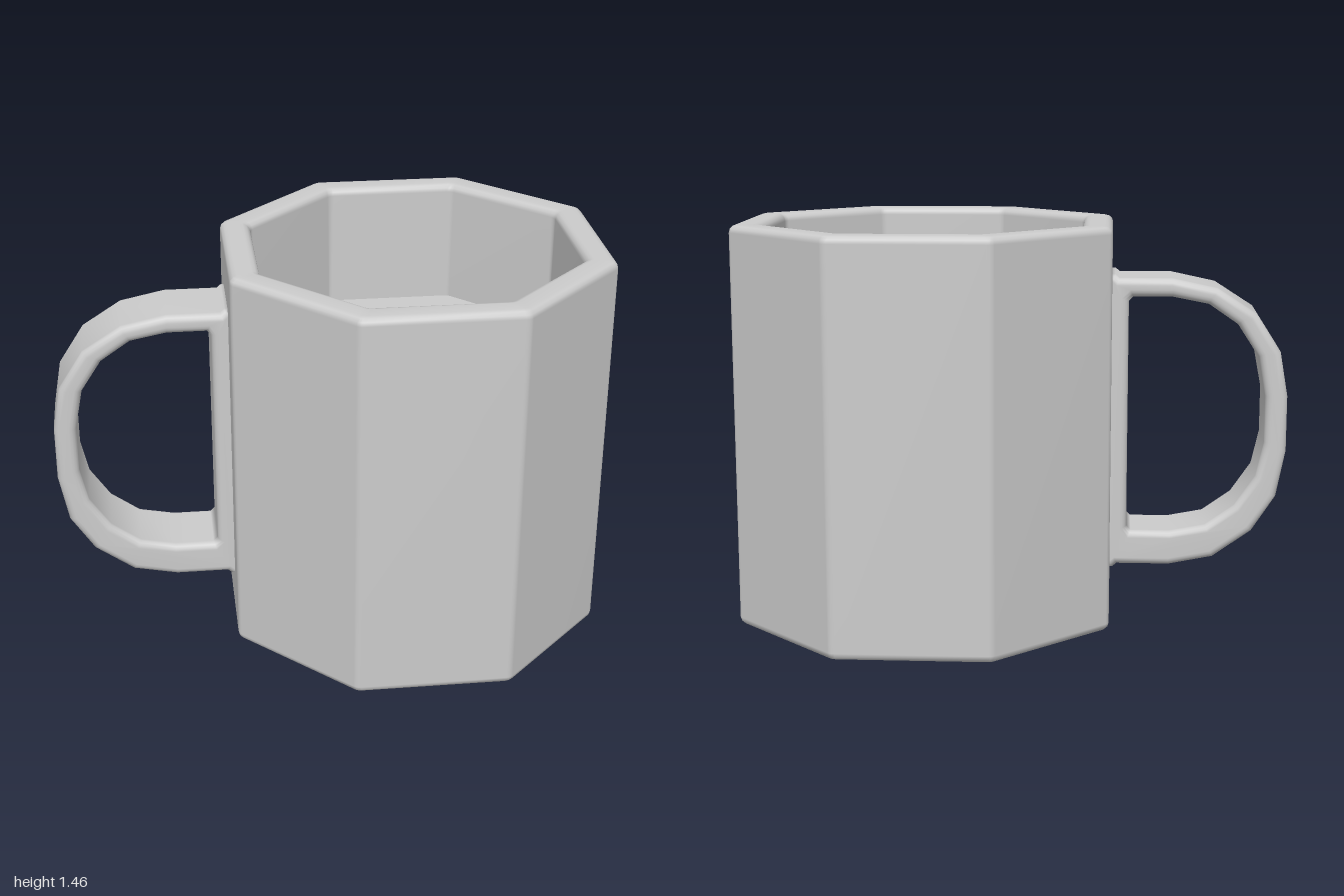
import * as THREE from 'three';
import { mergeVertices } from 'three/addons/utils/BufferGeometryUtils.js';

const HEIGHT = 1.46, OUTER = 0.674, INNER = 0.566, ROUND = 0.028;
const material = new THREE.MeshStandardMaterial({ color: 0xcccccc });

function part(name, geometry) {
  const mesh = new THREE.Mesh(geometry, material);
  mesh.name = name;
  return mesh;
}

// Octagon with softened corners; size is the distance from centre to a flat side.
function octagonRing(size, y, corner) {
  const points = [], steps = 3;
  const centreRadius = (size - corner) / Math.cos(Math.PI / 8);
  for (let i = 0; i < 8; i++) {
    const mid = Math.PI / 8 + i * Math.PI / 4;
    for (let s = 0; s <= steps; s++) {
      const a = mid + (s / steps - 0.5) * Math.PI / 4;
      points.push([
        centreRadius * Math.cos(mid) + corner * Math.cos(a), y,
        centreRadius * Math.sin(mid) + corner * Math.sin(a),
      ]);
    }
  }
  return points;
}

// Skin a list of rings that have equal point counts.
function loft(rings) {
  const n = rings[0].length, index = [];
  for (let j = 0; j < rings.length - 1; j++) {
    for (let k = 0; k < n; k++) {
      const a = j * n + k, b = j * n + (k + 1) % n, c = a + n, d = b + n;
      index.push(a, c, b, b, c, d);
    }
  }
  const geometry = new THREE.BufferGeometry();
  geometry.setAttribute('position', new THREE.Float32BufferAttribute(rings.flat(2), 3));
  geometry.setIndex(index);
  geometry.computeVertexNormals();
  return geometry;
}

// Outer wall, rounded rim and inner wall in one skin.
function bodyGeometry(floorY) {
  const rings = [octagonRing(0, 0, 0)];
  const edge = (size, y, from, to) => {
    for (let s = 0; s <= 3; s++) {
      const a = from + (to - from) * s / 3;
      rings.push(octagonRing(size + ROUND * Math.cos(a), y + ROUND * Math.sin(a), 0.035));
    }
  };
  edge(OUTER - ROUND, ROUND, -Math.PI / 2, 0);
  edge(OUTER - ROUND, HEIGHT - ROUND, 0, Math.PI / 2);
  edge(INNER + ROUND, HEIGHT - ROUND, Math.PI / 2, Math.PI);
  rings.push(octagonRing(INNER, floorY, 0.02));
  return loft(rings);
}

// Faceted D-shaped loop with a mounting strip against the wall.
function handleGeometry() {
  // Outline runs clockwise, opening runs counter-clockwise.
  const outer = [
    [-0.65, 0.195], [-0.685, 0.195], [-0.70, 0.208], [-0.89, 0.208], [-1.05, 0.24],
    [-1.19, 0.34], [-1.275, 0.47], [-1.308, 0.64], [-1.308, 0.84], [-1.28, 1.0],
    [-1.19, 1.14], [-1.05, 1.23], [-0.89, 1.264], [-0.70, 1.264], [-0.685, 1.277], [-0.65, 1.277],
  ];
  const opening = [
    [-0.734, 0.352], [-0.734, 1.18], [-0.75, 1.197], [-0.89, 1.197], [-1.02, 1.172],
    [-1.125, 1.1], [-1.2, 0.985], [-1.228, 0.84], [-1.228, 0.67], [-1.2, 0.545],
    [-1.125, 0.435], [-1.02, 0.36], [-0.89, 0.335], [-0.75, 0.335],
  ];
  const toPoints = list => list.map(([x, y]) => new THREE.Vector2(x, y));
  const shape = new THREE.Shape(toPoints(outer));
  shape.holes.push(new THREE.Path(toPoints(opening)));
  const width = 0.27, bevel = 0.026;
  let geometry = new THREE.ExtrudeGeometry(shape, {
    depth: width - 2 * bevel, bevelEnabled: true, bevelThickness: bevel,
    bevelSize: bevel, bevelOffset: -bevel, bevelSegments: 4,
  });
  geometry.translate(0, 0, bevel - width / 2);
  // Weld the facets so that they shade smoothly.
  geometry.deleteAttribute('normal');
  geometry.deleteAttribute('uv');
  geometry = mergeVertices(geometry, 1e-4);
  geometry.computeVertexNormals();
  return geometry;
}

export function createModel() {
  const mug = new THREE.Group();
  mug.name = 'mug';
  const floorY = 1.0;

  mug.add(part('body', bodyGeometry(floorY)));

  // Flat surface inside the cup
  const floor = new THREE.CircleGeometry(INNER / Math.cos(Math.PI / 8), 8, Math.PI / 8);
  floor.rotateX(-Math.PI / 2).translate(0, floorY, 0);
  mug.add(part('innerSurface', floor));

  mug.add(part('handle', handleGeometry()));

  // The whole mug is turned slightly about its axis
  mug.rotation.y = -0.045;
  mug.position.set(0.314, 0, 0);
  const model = new THREE.Group();
  model.add(mug);
  return model;
}
